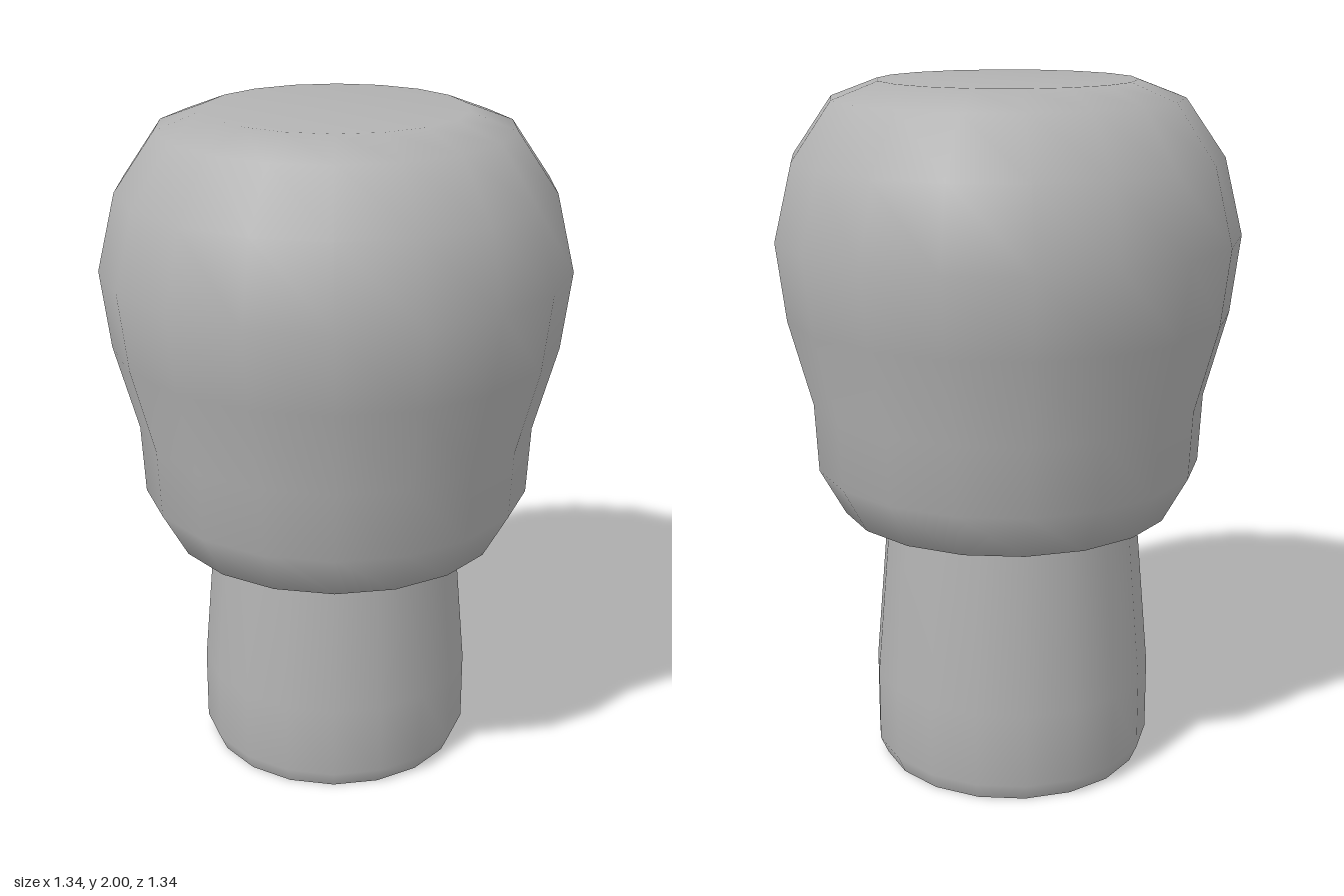
import * as THREE from 'three';

const SIDES = 18;
const PHASE = THREE.MathUtils.degToRad(15);

export function createModel() {
  const model = new THREE.Group();
  model.name = 'mallet';
  const grey = new THREE.MeshStandardMaterial({ color: 0xb2b2b2 });
  grey.name = 'plain grey';

  const add = (name, geometry, parent) => {
    const mesh = new THREE.Mesh(geometry, grey);
    mesh.name = name;
    parent.add(mesh);
  };
  // Profiles run from bottom to top as [radius, height].
  const turned = (profile) => new THREE.LatheGeometry(
    profile.map(([r, y]) => new THREE.Vector2(r, y)), SIDES, PHASE);

  // Bulging upper body with a flat crown and a shallow conical underside
  add('head', turned([
    [0, 0.66], [0.28, 0.68], [0.493, 0.753], [0.568, 0.89], [0.578, 1.09], [0.645, 1.34],
    [0.672, 1.565], [0.618, 1.785], [0.503, 1.95], [0.37, 2], [0, 2],
  ]), model);

  // Tapered neck, set slightly behind the middle of the head
  const neck = new THREE.Group();
  neck.name = 'neck';
  neck.position.set(-0.026, 0, -0.078);
  add('neckSide', turned([[0.39, 0], [0.412, 0.05], [0.412, 0.27], [0.366, 0.8]]), neck);

  // Flat underside with a crisp edge
  add('neckBase', new THREE.CircleGeometry(0.39, SIDES, PHASE).rotateX(Math.PI / 2), neck);
  model.add(neck);

  return model;
}
